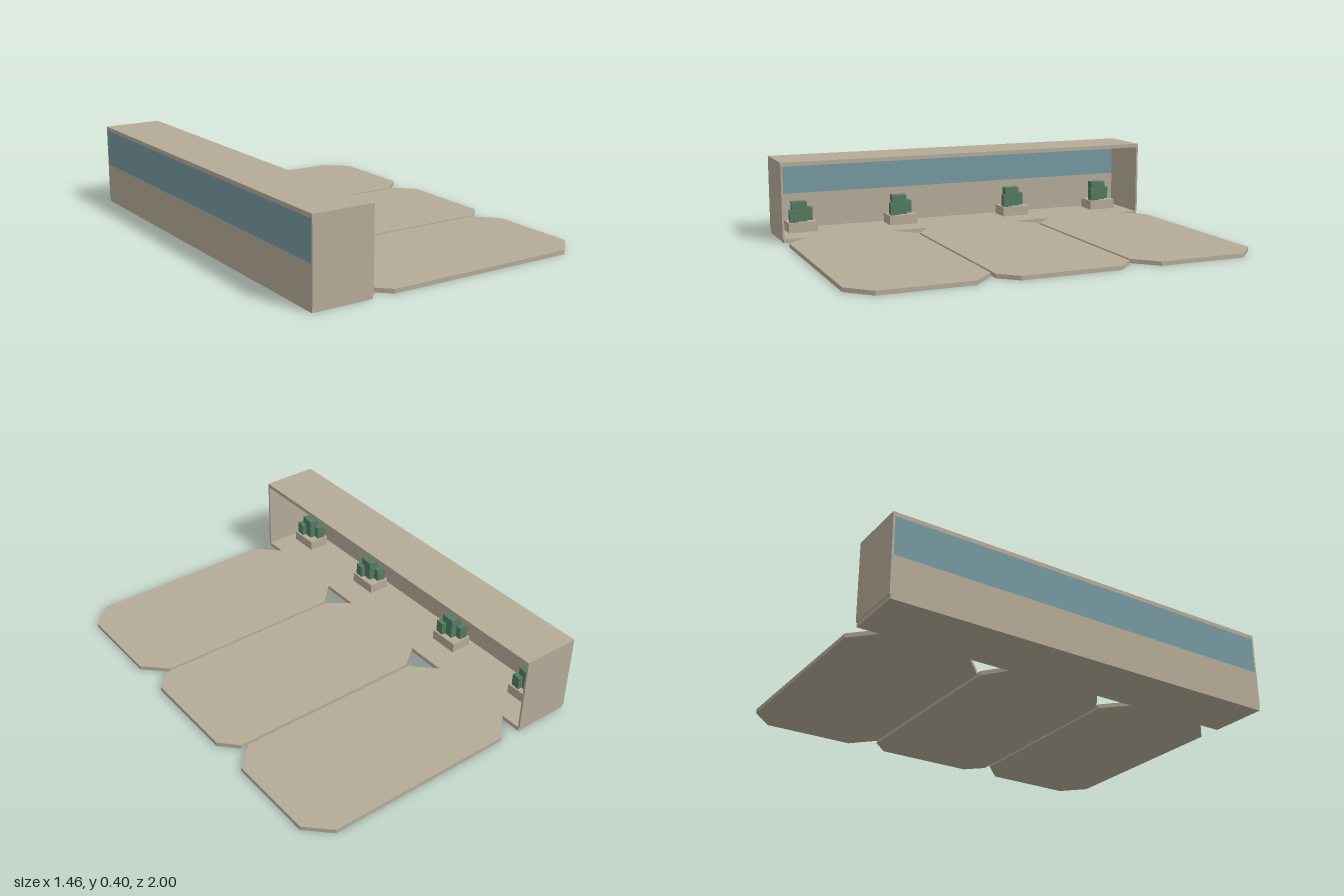
import * as THREE from 'three';

const stone = new THREE.MeshStandardMaterial({ color: 0xb4aa97 });
stone.name = 'warm stone';
const glass = new THREE.MeshStandardMaterial({ color: 0x75989f });
glass.name = 'blue glass';
const foliage = new THREE.MeshStandardMaterial({ color: 0x547b63 });
foliage.name = 'foliage green';

// Box given by its lower and upper corners
function block(name, material, [x0, y0, z0], [x1, y1, z1]) {
  const mesh = new THREE.Mesh(new THREE.BoxGeometry(x1 - x0, y1 - y0, z1 - z0), material);
  mesh.position.set((x0 + x1) / 2, (y0 + y1) / 2, (z0 + z1) / 2);
  mesh.name = name;
  return mesh;
}

const BACK = -0.73, FRONT = -0.44, END = 0.73, FLOOR = 0.02;

// Floor slab: a strip under the shelter with three chamfered bays
function createFloor() {
  const bays = [ // z range and chamfer sizes
    { z0: -0.995, z1: -0.345, cut: 0.105, tip: 0.11 },
    { z0: -0.33, z1: 0.325, cut: 0.083, tip: 0.08 },
    { z0: 0.338, z1: 0.992, cut: 0.107, tip: 0.11 },
  ];
  const outline = [[BACK, -0.995]];
  outline.push([FRONT, -0.995]);
  for (const { z0, z1, cut, tip } of bays) {
    outline.push(
      [FRONT, z0 + cut], [FRONT + 0.11, z0], [END - tip, z0], [END, z0 + cut],
      [END, z1 - cut], [END - tip, z1], [FRONT + 0.11, z1], [FRONT, z1 - cut],
    );
  }
  outline.push([FRONT, 0.995], [BACK, 0.995]);
  const shape = new THREE.Shape(outline.map(([x, z]) => new THREE.Vector2(x, -z)));
  const geometry = new THREE.ExtrudeGeometry(shape, { depth: FLOOR, bevelEnabled: false });
  geometry.rotateX(-Math.PI / 2);
  const floor = new THREE.Mesh(geometry, stone);
  floor.name = 'floor';
  return floor;
}

// Low planter with one tall and two short clipped shrubs
function createPlanter(z) {
  const planter = new THREE.Group();
  planter.name = 'planter';
  planter.add(block('planterBase', stone, [-0.055, 0, -0.075], [0.055, 0.05, 0.075]));
  const shrubs = [
    block('tallShrub', foliage, [-0.03, 0.05, -0.03], [0.025, 0.15, 0.047]),
    block('shortShrub', foliage, [0.0, 0.05, 0.018], [0.045, 0.112, 0.064]),
    block('shortShrub', foliage, [-0.045, 0.05, -0.064], [0.0, 0.115, -0.02]),
  ];
  for (const shrub of shrubs) {
    shrub.rotation.y = -0.1;
    planter.add(shrub);
  }
  planter.position.set(-0.635, FLOOR, z);
  return planter;
}

export function createModel() {
  const model = new THREE.Group();
  model.name = 'shelter';
  model.add(createFloor());

  // Shelter open towards the bays
  model.add(block('roof', stone, [BACK, 0.38, -1], [FRONT, 0.4, 1]));
  model.add(block('backWall', stone, [BACK, FLOOR, -0.99], [BACK + 0.01, 0.2, 0.99]));
  model.add(block('backWindow', glass, [BACK, 0.2, -0.99], [BACK + 0.009, 0.38, 0.99]));
  for (const side of [-1, 1]) {
    const wall = block('endWall', stone, [BACK, FLOOR, -0.005], [FRONT, 0.38, 0.005]);
    wall.position.z = side * 0.995;
    model.add(wall);
  }

  for (const z of [0.862, 0.328, -0.32, -0.855]) model.add(createPlanter(z));
  return model;
}
